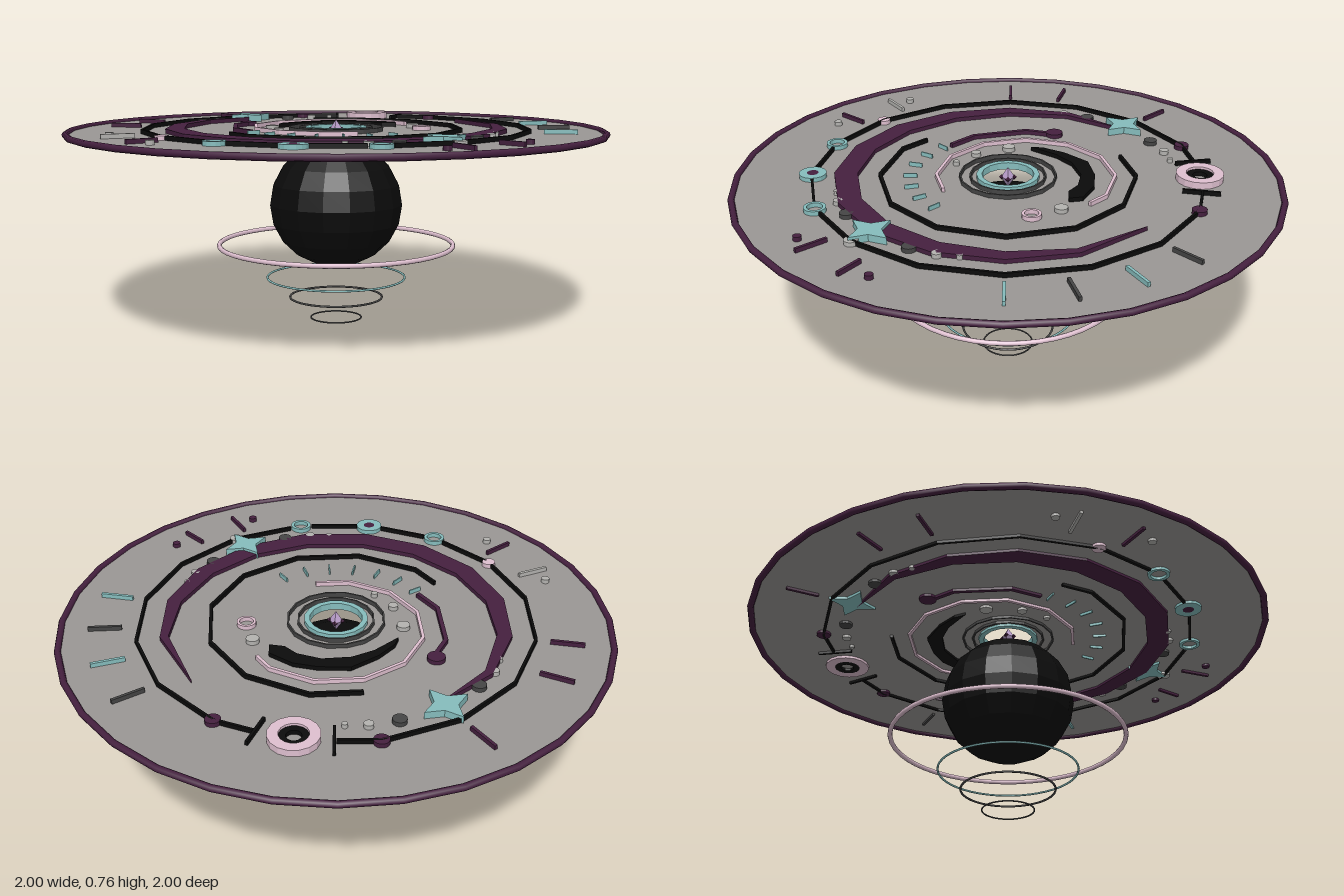
import * as THREE from 'three';

const PLUM = 0x45203f, TEAL = 0x86bdbd, BLACK = 0x0b0b0b, PINK = 0xdfc0d0, PALE = 0xb4b3b0, DARK = 0x454545;
const TOP = 0.733, BOTTOM = 0.707, RAD = Math.PI / 180;

export function createModel() {
  const model = new THREE.Group();

  const add = (name, geometry, color, y = 0, flatShading = true) => {
    const material = new THREE.MeshStandardMaterial({ color, flatShading, side: THREE.DoubleSide });
    const mesh = new THREE.Mesh(geometry, material);
    mesh.name = name;
    mesh.position.y = y;
    model.add(mesh);
    return mesh;
  };

  // Plate cut from a plan outline (x, z), running from BOTTOM up to top
  const plate = (name, shape, color, top = TOP) => {
    const g = new THREE.ExtrudeGeometry(shape, { depth: top - BOTTOM, bevelEnabled: false, curveSegments: 8 });
    return add(name, g.rotateX(Math.PI / 2), color, top);
  };
  const outline = pts => new THREE.Shape(pts.map(p => new THREE.Vector2(p[0], p[1])));

  // Point on a regular n-sided outline at an angle in degrees
  const onPolygon = (r, n, deg) => {
    const step = 360 / n, local = ((deg % step) + step) % step - step / 2;
    const d = r * Math.cos(Math.PI / n) / Math.cos(local * RAD);
    return [d * Math.cos(deg * RAD), d * Math.sin(deg * RAD)];
  };

  // Faceted arc band; angles run from +x towards +z
  const arc = (name, color, r, n, from, to, width, cz = 0) => {
    const step = 360 / n, angles = [from];
    for (let a = (Math.floor(from / step) + 1) * step; a < to - 0.01; a += step) angles.push(a);
    angles.push(to);
    const side = radius => angles.map(a => onPolygon(radius, n, a)).map(([x, z]) => [x, z + cz]);
    plate(name, outline([...side(r + width / 2), ...side(r - width / 2).reverse()]), color);
  };

  const ring = (name, color, x, z, outer, inner, top = TOP) => {
    const s = new THREE.Shape().absarc(x, z, outer, 0, Math.PI * 2);
    s.holes.push(new THREE.Path().absarc(x, z, inner, 0, Math.PI * 2, true));
    plate(name, s, color, top);
  };
  const dot = (name, color, x, z, r) =>
    plate(name, new THREE.Shape().absarc(x, z, r, 0, Math.PI * 2), color);

  // Straight radial bar centred on an angle
  const tick = (name, color, deg, r0, r1, width) => {
    const c = Math.cos(deg * RAD), s = Math.sin(deg * RAD), h = width / 2;
    plate(name, outline([[r0, -h], [r1, -h], [r1, h], [r0, h]].map(([u, v]) => [u * c - v * s, u * s + v * c])), color);
  };

  const hoop = (name, color, r, tube, y, sides = 48) =>
    add(name, new THREE.TorusGeometry(r, tube, 8, sides).rotateX(Math.PI / 2), color, y, false);

  // Main disc with central opening, and its rim
  add('disc', new THREE.RingGeometry(0.1, 0.987, 32, 1).rotateX(-Math.PI / 2), 0x9a9795, 0.717);
  hoop('rim', PLUM, 0.987, 0.012, 0.717, 32);

  // Outer track, broken by the ornaments
  [[-79, 64], [71, 86], [94, 109], [116, 259]].forEach(([a, b]) =>
    arc('outerTrack', BLACK, 0.715, 16, a, b, 0.01));
  [-79.5, 259.5].forEach(a => tick('trackEndBar', BLACK, a, 0.63, 0.765, 0.01));

  // Inner arcs
  arc('middleTrack', BLACK, 0.465, 12, -112.5, 135, 0.012);
  arc('pinkArc', PINK, 0.325, 12, 67.5, 315, 0.012, -0.065);
  arc('plumArc', PLUM, 0.405, 12, 133, 196, 0.016, -0.065);
  dot('plumArcKnob', PLUM, -0.385, -0.176, 0.032);

  // Large tapering crescent
  const outer = [], inner = [];
  for (let a = -45; a <= 225; a += 22.5) {
    const t = Math.abs(a - 90) / 135;
    const thick = 0.086 * (1 - Math.pow(t, 2.4));
    const at = r => [r * Math.cos(a * RAD), r * Math.sin(a * RAD)];
    outer.push(at(0.632));
    if (t < 0.99) inner.unshift(at(0.632 - thick));
  }
  outer[0] = [0.4, -0.47];
  outer[outer.length - 1] = [-0.42, -0.45];
  plate('plumCrescent', outline([...outer, ...inner]), PLUM);

  // Small dark crescent
  plate('blackCrescent', outline([[-0.24, -0.085], [-0.235, -0.13], [-0.19, -0.21], [-0.11, -0.295], [0, -0.315],
    [0.09, -0.31], [0.185, -0.265], [0.195, -0.215], [0.14, -0.215], [0.09, -0.25], [0, -0.265], [-0.1, -0.235],
    [-0.17, -0.18]]), BLACK);

  // Ornament at the back of the track
  ring('backRing', PINK, 0, -0.695, 0.087, 0.05, 0.742);
  ring('backInnerRing', BLACK, 0, -0.695, 0.05, 0.026);
  // Ornaments along the front of the track
  ring('frontRing', TEAL, 0, 0.71, 0.05, 0.021);
  dot('frontRingCentre', PLUM, 0, 0.71, 0.021);
  for (const s of [-1, 1]) {
    ring('sideRing', TEAL, s * 0.273, 0.66, 0.04, 0.028);
    dot('trackKnob', PLUM, s * 0.273, -0.66, 0.027);
    dot('trackBead', s < 0 ? PINK : PALE, s * 0.505, 0.505, 0.025);

    // Four-pointed star and the beads trailing from it, repeated half a turn round
    const star = [];
    for (let i = 0; i < 8; i++) {
      const r = i % 2 ? 0.04 : 0.09, a = (45 + i * 45) * RAD;
      star.push([s * 0.45 + r * Math.cos(a), s * 0.45 + r * Math.sin(a)]);
    }
    plate('star', outline(star), TEAL, 0.743);
    [[0.313, 0.545, 0.025, DARK], [0.22, 0.588, 0.017, PALE], [0.145, 0.603, 0.01, PALE],
      [0.545, 0.312, 0.025, DARK], [0.588, 0.22, 0.017, PALE], [0.6, 0.145, 0.01, PALE]]
      .forEach(([x, z, r, c]) => dot('starBead', c, s * x, s * z, r));

    // Loose dots near the edge
    const c = s < 0 ? PALE : PLUM;
    dot('edgeDot', c, s * 0.727, 0.42, 0.015);
    dot('edgeDot', c, s * 0.482, 0.685, 0.015);
  }

  // Radial marks near the edge
  [[0, TEAL], [-15, DARK], [-30, TEAL], [-45, DARK], [36, PLUM], [50, PLUM],
    [130, PLUM], [145, PALE], [180, PLUM], [195, PLUM], [225, PLUM]]
    .forEach(([a, c]) => tick('edgeMark', c, a, a === 36 ? 0.78 : 0.765, 0.885, 0.011));
  for (let a = 45; a <= 135; a += 15) tick('innerMark', TEAL, a, 0.33, 0.38, 0.005);

  // Inner beads and small ring
  [[-0.245, 0, 0.024], [-0.19, 0.123, 0.018], [-0.108, 0.193, 0.012], [0.262, -0.187, 0.024]]
    .forEach(([x, z, r]) => dot('innerBead', PALE, x, z, r));
  ring('smallRing', PINK, 0.31, -0.085, 0.035, 0.025);

  // Rings around the opening
  arc('openingRing', DARK, 0.175, 16, 0, 360, 0.006);
  arc('openingRing', DARK, 0.137, 16, 0, 360, 0.006);
  ring('openingCollar', TEAL, 0, 0, 0.115, 0.095);

  // Floating crystal over the opening
  add('crystal', new THREE.OctahedronGeometry(0.026).scale(1, 1.5, 1), 0xb79cc8, 0.72);
  for (let i = 0; i < 4; i++) {
    const a = i * Math.PI / 2;
    add('crystalShard', new THREE.OctahedronGeometry(0.011).translate(0.022 * Math.cos(a), 0, 0.022 * Math.sin(a)), PLUM, 0.72);
  }

  // Hanging ball and hoops
  add('ball', new THREE.SphereGeometry(0.239, 16, 10).scale(1.05, 1, 1.05), BLACK, 0.442);
  hoop('ballHoop', PINK, 0.441, 0.009, 0.288);
  hoop('upperHoop', TEAL, 0.261, 0.004, 0.16);
  hoop('middleHoop', DARK, 0.175, 0.004, 0.083);
  hoop('lowerHoop', DARK, 0.096, 0.003, 0.003);

  return model;
}
